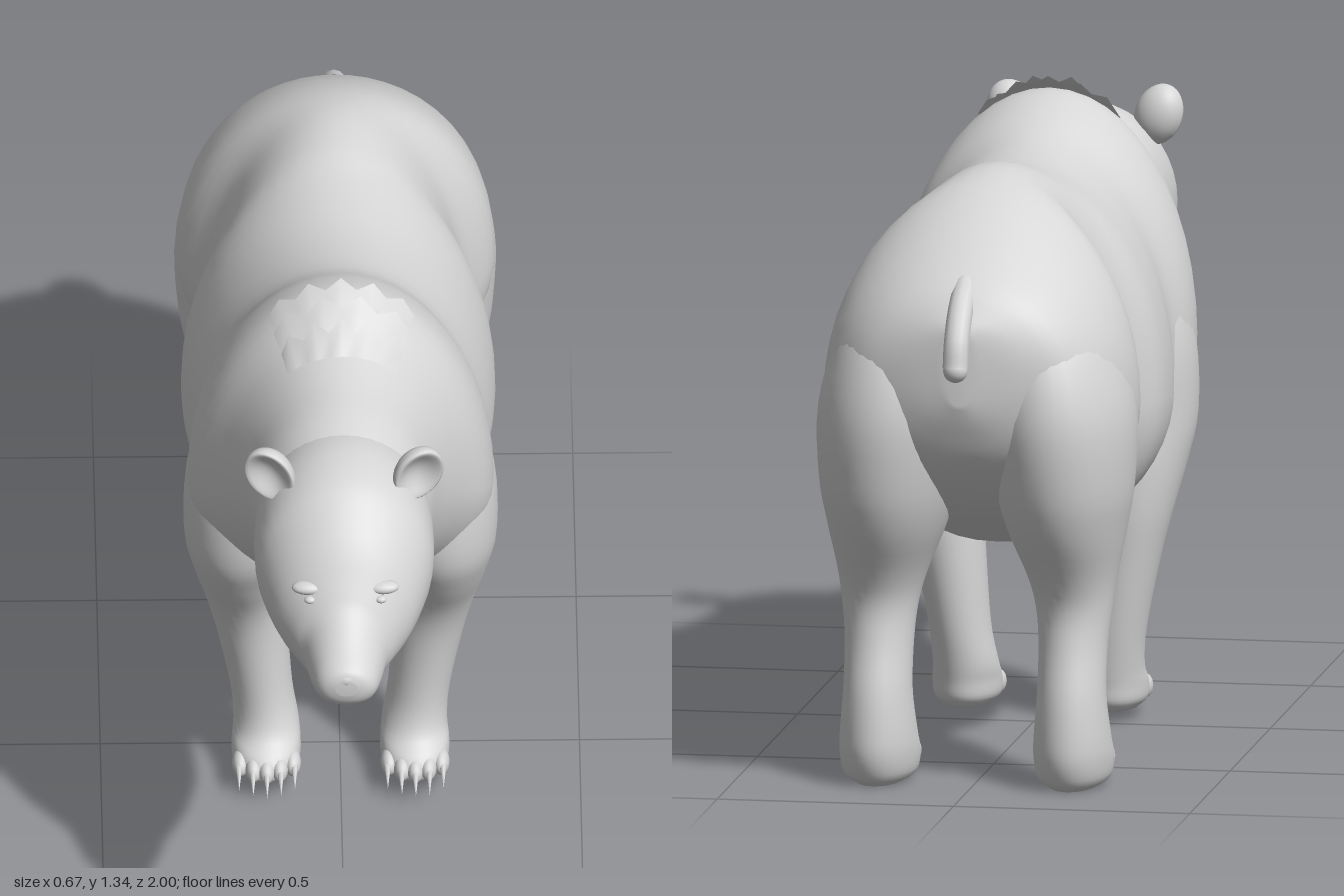
import * as THREE from 'three';

const fur = new THREE.MeshStandardMaterial({ color: 0xd6d6d6, side: THREE.DoubleSide });
fur.name = 'light grey fur';

// Smoothly interpolated row of a section table at fractional index u
function rowAt(rows, u) {
  const i = Math.max(0, Math.min(rows.length - 2, Math.floor(u))), f = u - i;
  const p = k => rows[Math.max(0, Math.min(rows.length - 1, k))];
  return rows[i].map((b, k) => {
    const a = p(i - 1)[k], c = p(i + 1)[k], d = p(i + 2)[k];
    return b + 0.5 * f * (c - a + f * (2 * a - 5 * b + 4 * c - d + f * (3 * (b - c) + d - a)));
  });
}

// Body rows: z, bottom, top, half width, height of widest point (lower half is fuller)
function bodyPoint(rows, u, t) {
  const [z, lo, hi, w, mid] = rowAt(rows, u), s = Math.sin(t), c = Math.cos(t);
  const x = s > 0 ? c : Math.sign(c) * Math.abs(c) ** 0.85;
  return [w * x, mid + s * (s > 0 ? hi - mid : mid - lo), z];
}

// Leg rows: y, centre x, centre z, radius x, radius z
function legPoint(rows, u, t) {
  const [y, cx, cz, rx, rz] = rowAt(rows, u);
  return [cx + rx * Math.cos(t), y, cz + rz * Math.sin(t)];
}

// Closed smooth skin through a table of sections
function loft(rows, point, sides = 40, sub = 4) {
  const pos = [], idx = [], n = (rows.length - 1) * sub;
  for (let i = 0; i <= n; i++)
    for (let j = 0; j < sides; j++) pos.push(...point(rows, i / sub, j / sides * Math.PI * 2));
  for (let i = 0; i < n; i++)
    for (let j = 0; j < sides; j++) {
      const k = (j + 1) % sides, a = i * sides + j, b = i * sides + k;
      idx.push(a, b, a + sides, b, b + sides, a + sides);
    }
  // end caps
  for (const i of [0, n]) {
    const p = point(rows, i / sub, 0), q = point(rows, i / sub, Math.PI), c = pos.length / 3;
    pos.push(...p.map((v, k) => (v + q[k]) / 2));
    for (let j = 0; j < sides; j++) {
      const a = i * sides + j, b = i * sides + (j + 1) % sides;
      idx.push(...(i ? [c, a, b] : [c, b, a]));
    }
  }
  return finish(pos, idx);
}

function finish(pos, idx) {
  const g = new THREE.BufferGeometry();
  g.setAttribute('position', new THREE.Float32BufferAttribute(pos, 3));
  g.setIndex(idx);
  g.computeVertexNormals();
  return g;
}

// Zigzag strip of fur lying on the body around angle mid
function furRow(rows, u, mid, spread, teeth, height) {
  const pos = [], idx = [], n = teeth * 2;
  for (let j = 0; j <= n; j++) {
    const t = mid + spread * (j / n * 2 - 1);
    const base = bodyPoint(rows, u + 0.5, t), tip = bodyPoint(rows, u - (j % 2) * 0.15, t);
    const h = height * (j % 2 ? 1 : 0.35) * (1 - 0.7 * (j / n * 2 - 1) ** 2);
    pos.push(...base, tip[0] + h * Math.cos(t), tip[1] + h * Math.sin(t), tip[2]);
    if (j < n) idx.push(2 * j, 2 * j + 1, 2 * j + 2, 2 * j + 1, 2 * j + 3, 2 * j + 2);
  }
  return finish(pos, idx);
}

const BODY = [
  [-0.94, 0.84, 1.00, 0.03, 0.93], [-0.92, 0.78, 1.03, 0.13, 0.91],
  [-0.88, 0.70, 1.08, 0.225, 0.88], [-0.80, 0.62, 1.14, 0.29, 0.85],
  [-0.70, 0.56, 1.205, 0.325, 0.82], [-0.60, 0.52, 1.25, 0.328, 0.80],
  [-0.50, 0.48, 1.27, 0.275, 0.77], [-0.40, 0.455, 1.262, 0.285, 0.75],
  [-0.30, 0.45, 1.235, 0.325, 0.75], [-0.15, 0.465, 1.22, 0.322, 0.74],
  [0.00, 0.50, 1.24, 0.295, 0.76], [0.10, 0.53, 1.285, 0.318, 0.79],
  [0.20, 0.58, 1.31, 0.31, 0.81], [0.30, 0.645, 1.27, 0.255, 0.88],
  [0.40, 0.71, 1.24, 0.212, 0.94], [0.50, 0.755, 1.22, 0.188, 0.99],
  [0.60, 0.785, 1.19, 0.17, 1.0]];
const HEAD = [
  [0.46, 0.79, 1.19, 0.165, 1.0], [0.58, 0.765, 1.21, 0.184, 1.0],
  [0.68, 0.765, 1.195, 0.187, 0.99], [0.74, 0.775, 1.16, 0.173, 0.97],
  [0.80, 0.785, 1.105, 0.146, 0.94], [0.85, 0.79, 1.035, 0.11, 0.91],
  [0.88, 0.795, 0.995, 0.088, 0.885], [0.93, 0.807, 0.957, 0.075, 0.87],
  [0.97, 0.822, 0.932, 0.064, 0.872], [0.99, 0.842, 0.918, 0.047, 0.878],
  [0.998, 0.865, 0.90, 0.022, 0.883]];
const FRONT_LEG = [
  [1.08, 0.10, 0.10, 0.03, 0.04], [1.02, 0.14, 0.11, 0.08, 0.10],
  [0.93, 0.17, 0.11, 0.115, 0.14], [0.80, 0.19, 0.11, 0.132, 0.16],
  [0.65, 0.205, 0.11, 0.122, 0.155], [0.55, 0.21, 0.085, 0.10, 0.135],
  [0.45, 0.20, 0.055, 0.085, 0.107], [0.35, 0.185, 0.045, 0.075, 0.09],
  [0.20, 0.165, 0.047, 0.065, 0.078], [0.12, 0.155, 0.06, 0.068, 0.08],
  [0.08, 0.155, 0.085, 0.072, 0.098], [0.045, 0.155, 0.092, 0.07, 0.10],
  [0.025, 0.155, 0.09, 0.05, 0.08]];
const HIND_LEG = [
  [1.08, 0.12, -0.66, 0.03, 0.06], [1.03, 0.14, -0.67, 0.10, 0.15],
  [0.94, 0.16, -0.69, 0.135, 0.205], [0.80, 0.175, -0.70, 0.158, 0.23],
  [0.65, 0.185, -0.705, 0.146, 0.208], [0.55, 0.19, -0.70, 0.125, 0.178],
  [0.45, 0.20, -0.695, 0.095, 0.125], [0.38, 0.205, -0.70, 0.08, 0.096],
  [0.30, 0.205, -0.715, 0.072, 0.088], [0.20, 0.205, -0.735, 0.072, 0.092],
  [0.11, 0.205, -0.725, 0.08, 0.112], [0.06, 0.205, -0.705, 0.083, 0.13],
  [0.02, 0.205, -0.70, 0.075, 0.12], [0.002, 0.205, -0.70, 0.05, 0.10]];

export function createModel() {
  const bear = new THREE.Group();
  bear.name = 'bear';
  const add = (name, geometry, parent = bear) => {
    const m = new THREE.Mesh(geometry, fur);
    m.name = name;
    parent.add(m);
    return m;
  };
  const ball = (name, x, y, z, rx, ry, rz, parent) => {
    const m = add(name, new THREE.SphereGeometry(1, 20, 14), parent);
    m.position.set(x, y, z);
    m.scale.set(rx, ry, rz);
    return m;
  };

  add('body', loft(BODY, bodyPoint, 48));
  add('head', loft(HEAD, bodyPoint, 40));
  ball('lowerJaw', 0, 0.815, 0.9, 0.05, 0.022, 0.056);
  ball('nose', 0, 0.898, 0.972, 0.034, 0.022, 0.027);

  // Shaggy fur on the shoulder hump and under the throat
  for (let r = 0; r < 3; r++) {
    add('humpFur', furRow(BODY, 11.9 + r * 0.5, Math.PI / 2, 0.5, 5 - r % 2, 0.03));
    add('throatFur', furRow(BODY, 13.1 + r * 0.8, -Math.PI / 2, 0.6, 7 + r % 2, 0.012));
  }

  // Tail
  const tailPath = new THREE.CatmullRomCurve3([[1.08, -0.84], [1.035, -0.915], [0.975, -0.962], [0.925, -0.976]]
    .map(([y, z]) => new THREE.Vector3(0, y, z)));
  add('tail', new THREE.TubeGeometry(tailPath, 16, 0.027, 12));
  ball('tailTip', 0, 0.922, -0.976, 0.026, 0.026, 0.024);

  // Cupped ear shape
  const earShape = new THREE.SphereGeometry(1, 28, 20);
  const p = earShape.attributes.position;
  for (let i = 0; i < p.count; i++) {
    const z = p.getZ(i), r2 = p.getX(i) ** 2 + p.getY(i) ** 2;
    if (z > 0) p.setZ(i, z - 1.3 * (1 - r2));
  }
  earShape.computeVertexNormals();

  for (const s of [1, -1]) {
    const side = s > 0 ? 'left' : 'right';
    const ear = add(side + 'Ear', earShape);
    ear.position.set(s * 0.155, 1.178, 0.645);
    ear.scale.set(0.052, 0.066, 0.045);
    ear.rotation.set(0.1, s * 0.3, -s * 0.4);

    // Eye, lid and nostril
    ball(side + 'Eye', s * 0.074, 1.004, 0.848, 0.012, 0.008, 0.01);
    ball(side + 'Brow', s * 0.078, 1.022, 0.828, 0.034, 0.014, 0.02);
    ball(side + 'Nostril', s * 0.018, 0.892, 0.99, 0.008, 0.009, 0.008);

    // Legs with toes and claws: name, sections, paw x, toe y, toe z
    for (const [name, rows, px, py, pz] of [
      ['FrontLeg', FRONT_LEG, 0.155, 0.058, 0.172], ['HindLeg', HIND_LEG, 0.205, 0.048, -0.592]]) {
      const leg = new THREE.Group();
      leg.name = side + name;
      bear.add(leg);
      add('limb', loft(rows.map(([y, x, ...rest]) => [y, s * x, ...rest]), legPoint, 32), leg);
      for (let i = -2; i <= 2; i++) {
        const x = s * px + i * 0.027, z = pz - i * i * 0.007;
        ball('toe', x, py, z, 0.018, 0.026, 0.036, leg);
        const claw = add('claw', new THREE.ConeGeometry(0.008, 0.07, 8), leg);
        claw.position.set(x + i * 0.002, py, z + 0.054);
        claw.rotation.x = Math.PI / 2 + 0.25;
      }
    }
  }
  return bear;
}
